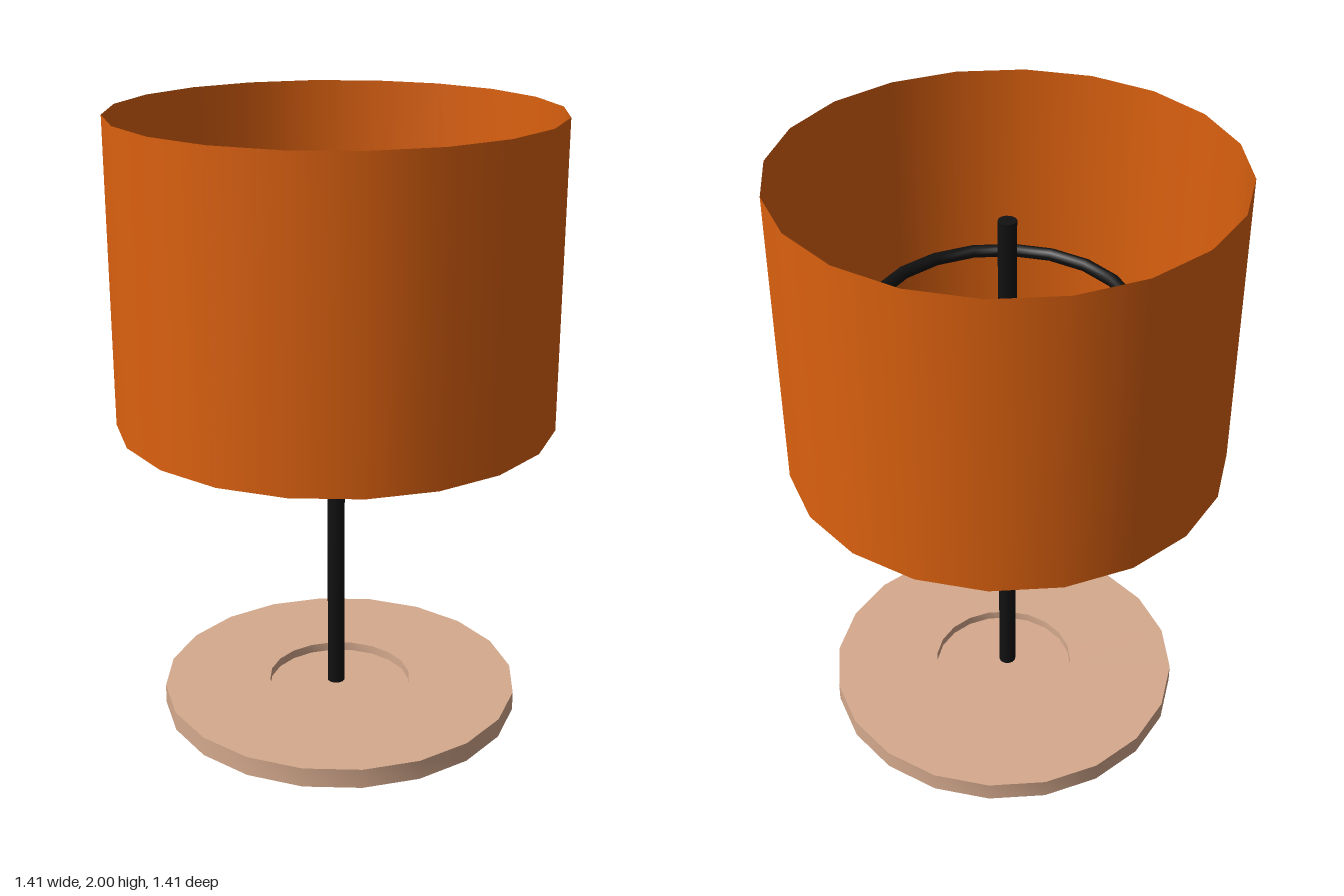
import * as THREE from 'three';
import { toCreasedNormals } from 'three/addons/utils/BufferGeometryUtils.js';

const SIDES = 20;

export function createModel() {
  const model = new THREE.Group();
  model.name = 'tableLamp';

  const shadeOrange = new THREE.MeshStandardMaterial({ name: 'shadeOrange', color: 0xdc610f, side: THREE.DoubleSide });
  const baseTan = new THREE.MeshStandardMaterial({ name: 'baseTan', color: 0xd6aa8e });
  const metalBlack = new THREE.MeshStandardMaterial({ name: 'metalBlack', color: 0x111111 });

  const add = (name, geometry, material, x, y, z, parent = model) => {
    const mesh = new THREE.Mesh(geometry, material);
    mesh.name = name;
    mesh.position.set(x, y, z);
    parent.add(mesh);
    return mesh;
  };

  // Round base with a shallow recess in its top
  const profile = [[0, 0], [0.597, 0], [0.597, 0.065], [0.24, 0.065], [0.24, 0.035], [0, 0.035]]
    .map(([r, y]) => new THREE.Vector2(r, y));
  add('base', toCreasedNormals(new THREE.LatheGeometry(profile, SIDES), 0.6), baseTan, 0.01, 0, -0.012);

  // Upright pole
  const poleBottom = 0.057, poleTop = 1.837;
  add('pole', new THREE.CylinderGeometry(0.029, 0.029, poleTop - poleBottom, 12), metalBlack,
    0, (poleTop + poleBottom) / 2, 0);

  // Two levels of inner frame, each a ring carried by a cross bar
  [
    { name: 'lowerFrame', y: 1.188, radius: 0.454, barX: 0.005 },
    { name: 'upperFrame', y: 1.508, radius: 0.411, barX: 0 },
  ].forEach(({ name, y, radius, barX }) => {
    const frame = new THREE.Group();
    frame.name = name;
    frame.position.y = y;
    const ring = add('ring', new THREE.TorusGeometry(radius, 0.021, 8, SIDES), metalBlack, 0.013, 0, -0.012, frame);
    ring.rotation.x = Math.PI / 2;
    const bar = add('crossBar', new THREE.CylinderGeometry(0.012, 0.012, 1.375, 8), metalBlack, barX, 0, -0.003, frame);
    bar.rotation.z = Math.PI / 2;
    model.add(frame);
  });

  // Open drum shade
  add('shade', new THREE.CylinderGeometry(0.705, 0.705, 0.98, SIDES, 1, true), shadeOrange, 0, 1.51, 0);

  return model;
}
